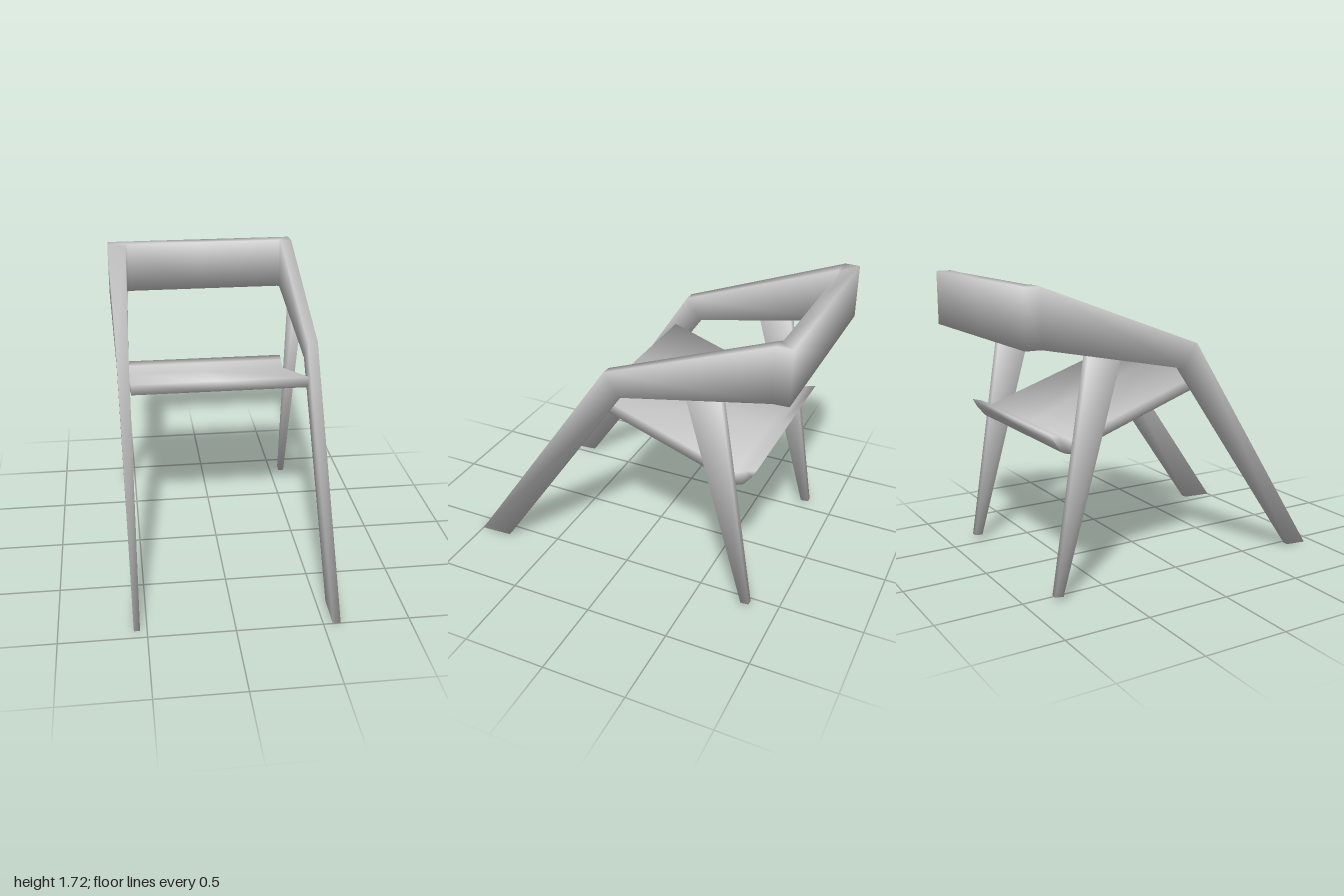
import * as THREE from 'three';

const material = new THREE.MeshStandardMaterial({ color: 0xcccccc });

// Closed loft through rings of [x, y, z] corners. Edges are shaded softly:
// every vertex normal is the plain average of the faces that meet there.
function loft(name, rings) {
  const n = rings[0].length;
  const points = rings.flat().map((p) => new THREE.Vector3(...p));
  const normals = points.map(() => new THREE.Vector3());
  const index = [];

  const faceNormal = (a, b, c, d) => points[c].clone().sub(points[a])
    .cross(points[d].clone().sub(points[b])).normalize();
  const addQuad = (a, b, c, d) => index.push(a, b, d, d, b, c);

  // walls
  const last = (rings.length - 1) * n;
  for (let i = 0; i < last; i += n) {
    for (let j = 0; j < n; j++) {
      const k = (j + 1) % n;
      const quad = [i + j, i + j + n, i + k + n, i + k];
      addQuad(...quad);
      const normal = faceNormal(...quad);
      quad.forEach((v) => normals[v].add(normal));
    }
  }
  // end caps, filled by strips between opposite corners
  for (let j = 0; j < n / 2 - 1; j++) {
    const quad = [j, j + 1, n - 2 - j, n - 1 - j];
    addQuad(...quad);
    addQuad(...quad.map((v) => last + v).reverse());
  }
  const startNormal = faceNormal(0, 1, n - 2, n - 1);
  const endNormal = faceNormal(last + n - 1, last + n - 2, last + 1, last);
  for (let j = 0; j < n; j++) {
    normals[j].add(startNormal);
    normals[last + j].add(endNormal);
  }

  const geo = new THREE.BufferGeometry().setFromPoints(points);
  const normalValues = normals.flatMap((v) => v.normalize().toArray());
  geo.setAttribute('normal', new THREE.Float32BufferAttribute(normalValues, 3));
  geo.setIndex(index);
  const mesh = new THREE.Mesh(geo, material);
  mesh.name = name;
  return mesh;
}

// Section of a bar in a side plane: outer x, inner x, low [z, y], high [z, y]
const bar = (xo, xi, [zl, yl], [zh, yh]) =>
  [[xo, yl, zl], [xo, yh, zh], [xi, yh, zh], [xi, yl, zl]];

// Section of the upright back rail: outer [x, z], inner [x, z]
const rail = ([xo, zo], [xi, zi]) =>
  [[xo, 1.40, zo], [xo, 1.72, zo], [xi, 1.72, zi], [xi, 1.40, zi]];

function createFrame() {
  const kneeLow = [-0.03, 1.22], kneeHigh = [0.065, 1.355];
  return loft('frame', [
    // left front leg and arm
    bar(0.60, 0.555, [0.80, 0.01], [1.0, 0.0]),
    bar(0.605, 0.545, kneeLow, kneeHigh),
    // back rail with its two corners
    rail([0.615, -0.91], [0.542, -0.905]),
    rail([0.61, -1.0], [0.53, -0.92]),
    rail([0, -1.0], [0, -0.92]),
    rail([-0.615, -1.0], [-0.485, -0.92]),
    rail([-0.618, -0.91], [-0.498, -0.905]),
    // right arm and front leg
    bar(-0.597, -0.525, kneeLow, kneeHigh),
    bar(-0.575, -0.54, [0.80, 0.01], [0.94, 0.0]),
  ]);
}

// Tapered rear leg, its top set into the arm
function createRearLeg(name, x) {
  return loft(name, [
    bar(x + 0.028, x - 0.028, [-0.427, 1.31], [-0.624, 1.35]),
    bar(x + 0.018, x - 0.018, [-0.79, 0.025], [-0.84, 0.03]),
  ]);
}

// Sloping seat panel with a turned-up rear lip
function createSeat() {
  const profile = [ // [z, y], top from front to back, then underside to front
    [0.14, 1.163], [-0.70, 0.88], [-0.77, 0.912], [-0.825, 0.926],
    [-0.80, 0.88], [-0.75, 0.818], [-0.71, 0.805], [0.125, 1.09],
  ];
  return loft('seat', [-0.52, 0, 0.545].map((x) => profile.map(([z, y]) => [x, y, z])));
}

export function createModel() {
  const chair = new THREE.Group();
  chair.name = 'chair';
  chair.add(
    createFrame(),
    createRearLeg('leftRearLeg', 0.573),
    createRearLeg('rightRearLeg', -0.562),
    createSeat(),
  );
  return chair;
}
